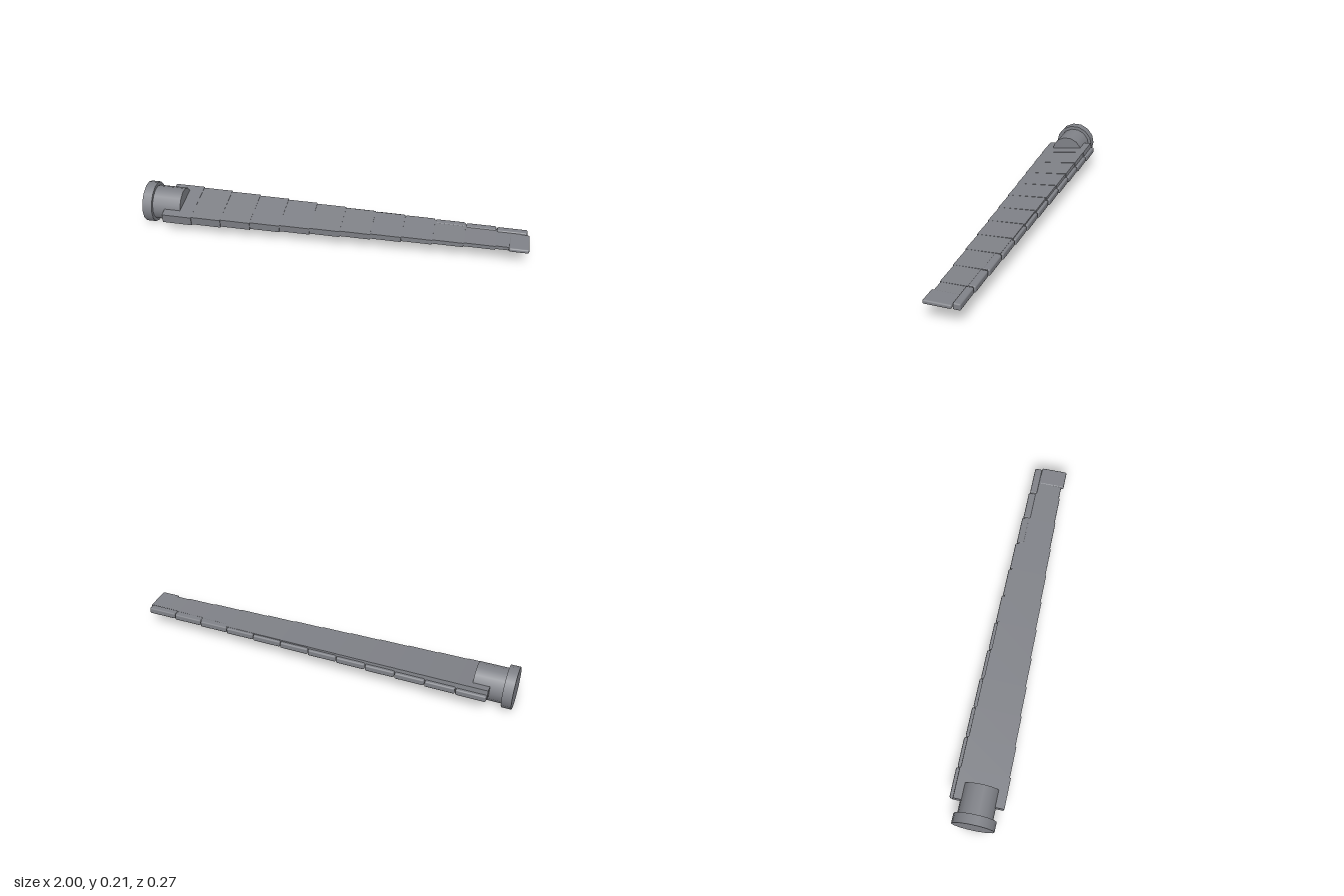
import * as THREE from 'three';
import { RoundedBoxGeometry } from 'three/addons/geometries/RoundedBoxGeometry.js';

export function createModel() {
  const group = new THREE.Group();
  const material = new THREE.MeshStandardMaterial({ color: 0x808288 });
  const axisY = 0.105;
  const add = (name, geometry, x, y, z, twist = 0) => {
    const mesh = new THREE.Mesh(geometry, material);
    mesh.name = name;
    mesh.position.set(x, y, z);
    mesh.rotation.x = twist;
    group.add(mesh);
  };

  // Root: 14-sided drums lying along x, with a flat side on top
  const drum = (name, radius, x0, x1) => {
    const geometry = new THREE.CylinderGeometry(radius, radius, x1 - x0, 14);
    geometry.rotateZ(Math.PI / 2);
    add(name, geometry, (x0 + x1) / 2, axisY, 0.005);
  };
  drum('rootFlange', 0.107, -1, -0.95);
  drum('rootHub', 0.089, -0.95, -0.8);

  // Blade: stepped slabs that shrink and untwist towards the tip
  const count = 12, start = -0.885, step = 0.1562;
  for (let i = 0; i < count; i++) {
    const t = i / (count - 1);
    const lerp = (a, b) => a + (b - a) * t;
    const x = start + (i + 0.5) * step;
    const front = lerp(0.134, 0.08), back = lerp(-0.121, -0.068);
    const length = i === count - 1 ? step - 0.03 : step;
    add('bladeSegment', new THREE.BoxGeometry(length, lerp(0.05, 0.018), front - back),
      x - (step - length) / 2, lerp(0.1055, 0.107), (front + back) / 2, lerp(0.136, 0.01));

    // Separate bevelled strip along the back edge
    const edge = lerp(-0.137, -0.081);
    add('edgeStrip', new RoundedBoxGeometry(step - 0.004, 0.033, 0.038, 1, 0.007),
      x, 0.106, edge + 0.019);
  }

  // Rounded tip plate
  add('bladeTip', new RoundedBoxGeometry(0.1, 0.021, 0.136, 2, 0.008), 0.95, 0.107, 0.025);
  return group;
}
